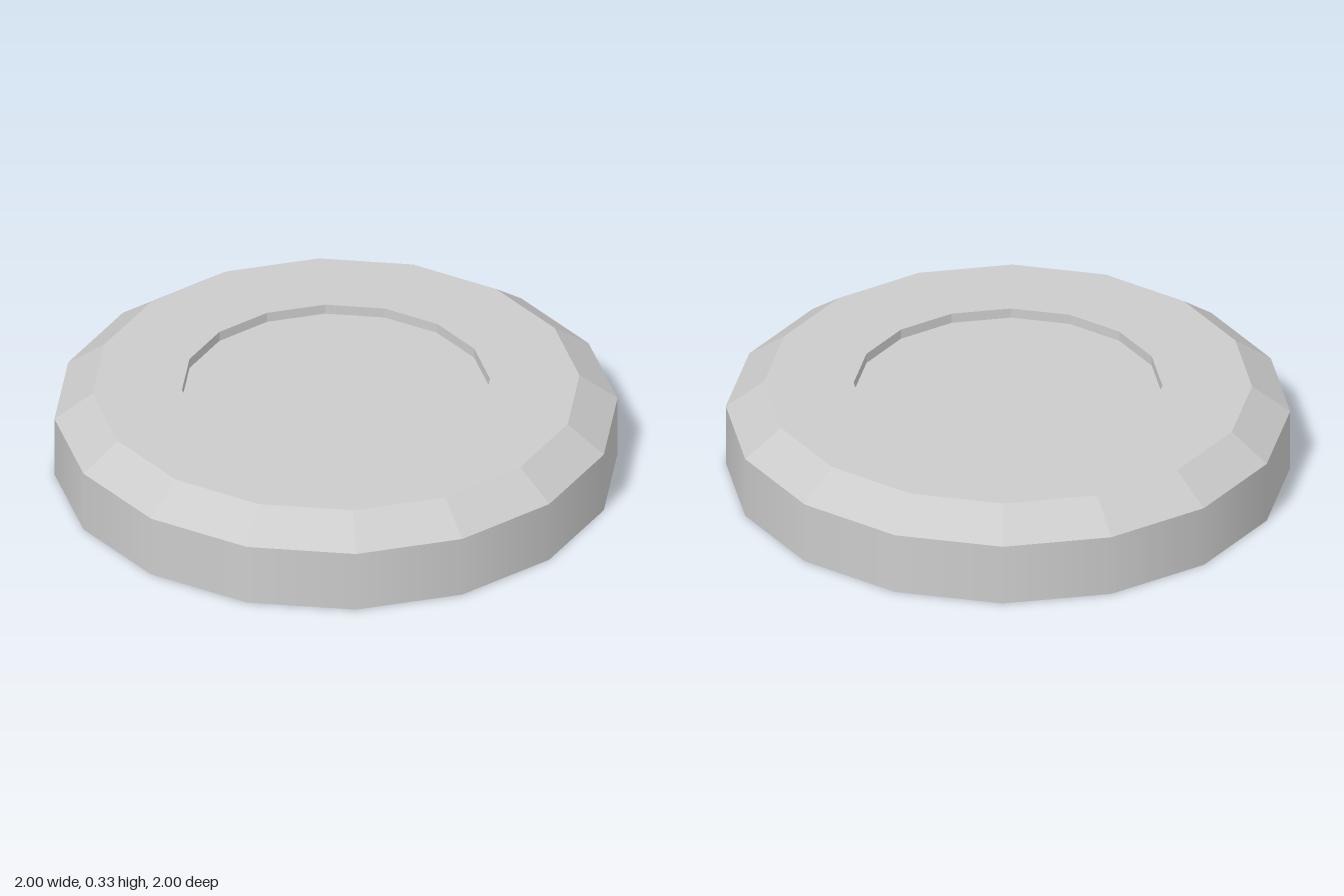
import * as THREE from 'three';

const SIDES = 16;
const OUTER = 1, TOP = 0.865, RECESS = 0.547;
const WALL_Y = 0.23, TOP_Y = 0.33, FLOOR_Y = 0.293;

// One band of the turned profile, from (r0, y0) to (r1, y1); travelling upwards faces outwards
function band(name, r0, y0, r1, y1, flatShading = true) {
  const profile = [new THREE.Vector2(r0, y0), new THREE.Vector2(r1, y1)];
  const material = new THREE.MeshStandardMaterial({ color: 0xcccccc, flatShading });
  const mesh = new THREE.Mesh(new THREE.LatheGeometry(profile, SIDES), material);
  mesh.name = name;
  return mesh;
}

export function createModel() {
  const model = new THREE.Group();
  model.name = 'recessedDisc';
  model.add(
    band('base', 0, 0, OUTER, 0),
    // The side wall is shaded smoothly, the other bands are faceted
    band('sideWall', OUTER, 0, OUTER, WALL_Y, false),
    band('bevel', OUTER, WALL_Y, TOP, TOP_Y),
    band('topRim', TOP, TOP_Y, RECESS, TOP_Y),
    // Shallow dish in the middle
    band('recessWall', RECESS, TOP_Y, RECESS, FLOOR_Y),
    band('recessFloor', RECESS, FLOOR_Y, 0, FLOOR_Y),
  );
  return model;
}
